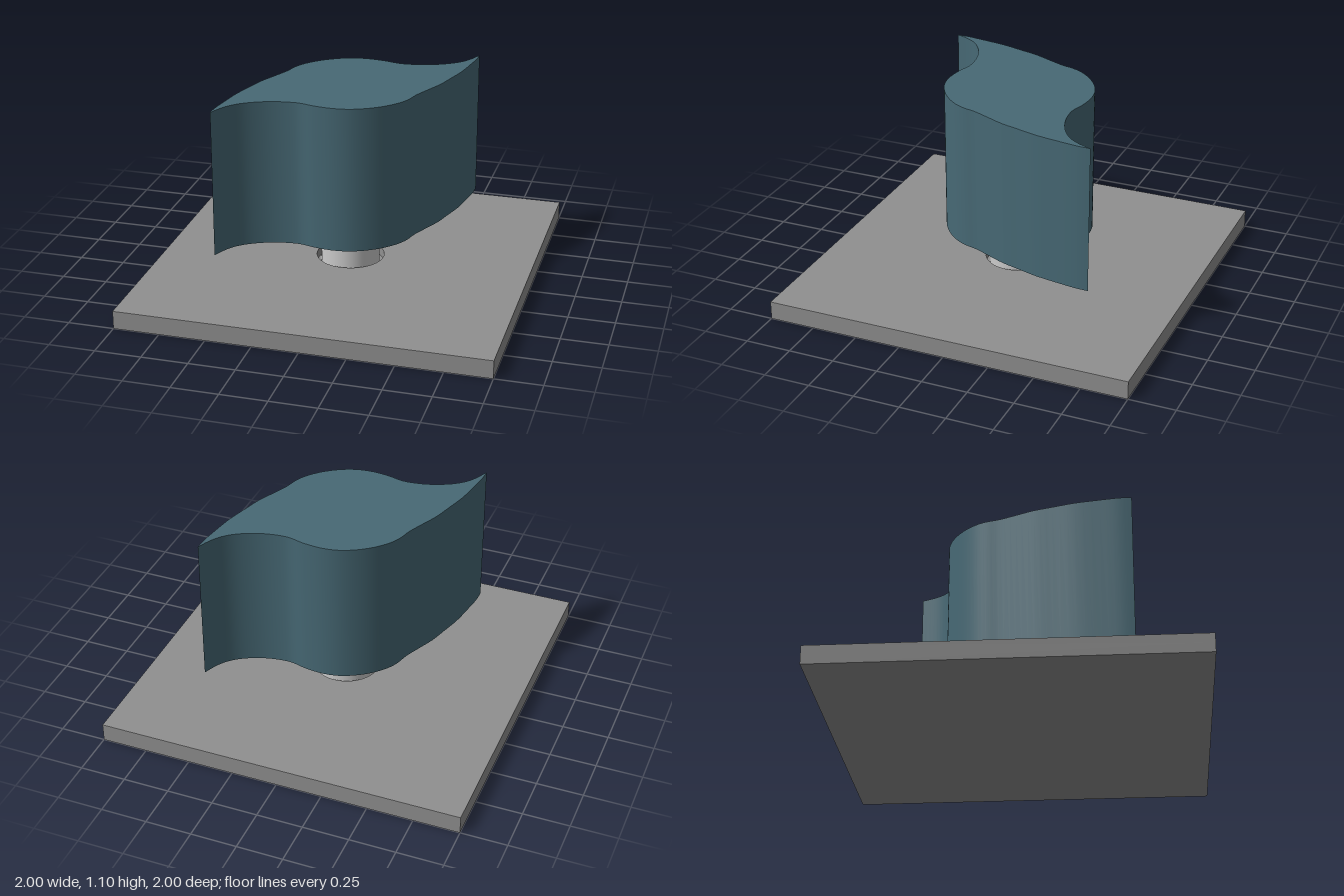
import * as THREE from 'three';
import { toCreasedNormals } from 'three/addons/utils/BufferGeometryUtils.js';

const grey = new THREE.MeshStandardMaterial({ color: 0xcccccc });
const darkGrey = new THREE.MeshStandardMaterial({ color: 0x909090 });
const blue = new THREE.MeshStandardMaterial({ color: 0x476975 });

function addMesh(parent, name, geometry, material, y = 0) {
  const mesh = new THREE.Mesh(geometry, material);
  mesh.name = name;
  mesh.position.y = y;
  parent.add(mesh);
}

// Extrudes a plan-view shape upwards (shape y points to -z).
function extrudeUp(shape, height) {
  const geometry = new THREE.ExtrudeGeometry(shape, { depth: height, bevelEnabled: false, curveSegments: 48 });
  geometry.rotateX(-Math.PI / 2);
  return toCreasedNormals(geometry, 0.6);
}

// S-shaped plan: one edge from tip to tip, repeated after a half turn.
function rotorShape() {
  const edge = [
    [0.57, 0.62], [0.54, 0.55], [0.5, 0.49], [0.44, 0.44], [0.36, 0.4], [0.28, 0.377], [0.2, 0.368],
    [0.15, 0.374], [0.09, 0.39], [0, 0.4], [-0.08, 0.393], [-0.15, 0.37], [-0.22, 0.33], [-0.28, 0.28],
    [-0.33, 0.22], [-0.36, 0.16], [-0.38, 0.09], [-0.42, 0], [-0.465, -0.1], [-0.495, -0.2],
    [-0.53, -0.32], [-0.553, -0.45], [-0.568, -0.55], [-0.57, -0.62],
  ].map(([x, y]) => new THREE.Vector2(x, y));
  const half = new THREE.SplineCurve(edge).getPoints(69);
  const turned = half.map((p) => p.clone().negate());
  return new THREE.Shape([...half.slice(0, -1), ...turned.slice(0, -1)]);
}

export function createModel() {
  const model = new THREE.Group();
  model.name = 'rotorOnStand';

  // Square base: solid plate below, upper layer with a round recess for the post
  const base = new THREE.Group();
  base.name = 'base';
  const square = new THREE.Shape([[-1, -1], [1, -1], [1, 1], [-1, 1]].map(([x, y]) => new THREE.Vector2(x, y)));
  const recess = new THREE.Path();
  recess.absarc(0, 0, 0.185, 0, Math.PI * 2, true);
  square.holes.push(recess);
  addMesh(base, 'basePlate', new THREE.BoxGeometry(2, 0.05, 2), darkGrey, 0.025);
  addMesh(base, 'baseTop', extrudeUp(square, 0.05), darkGrey, 0.05);
  model.add(base);

  // Round post standing in the recess
  addMesh(model, 'post', new THREE.CylinderGeometry(0.16, 0.16, 0.26, 48), grey, 0.18);

  // Rotor body with two swept tips
  addMesh(model, 'rotor', extrudeUp(rotorShape(), 0.8), blue, 0.3);

  return model;
}
